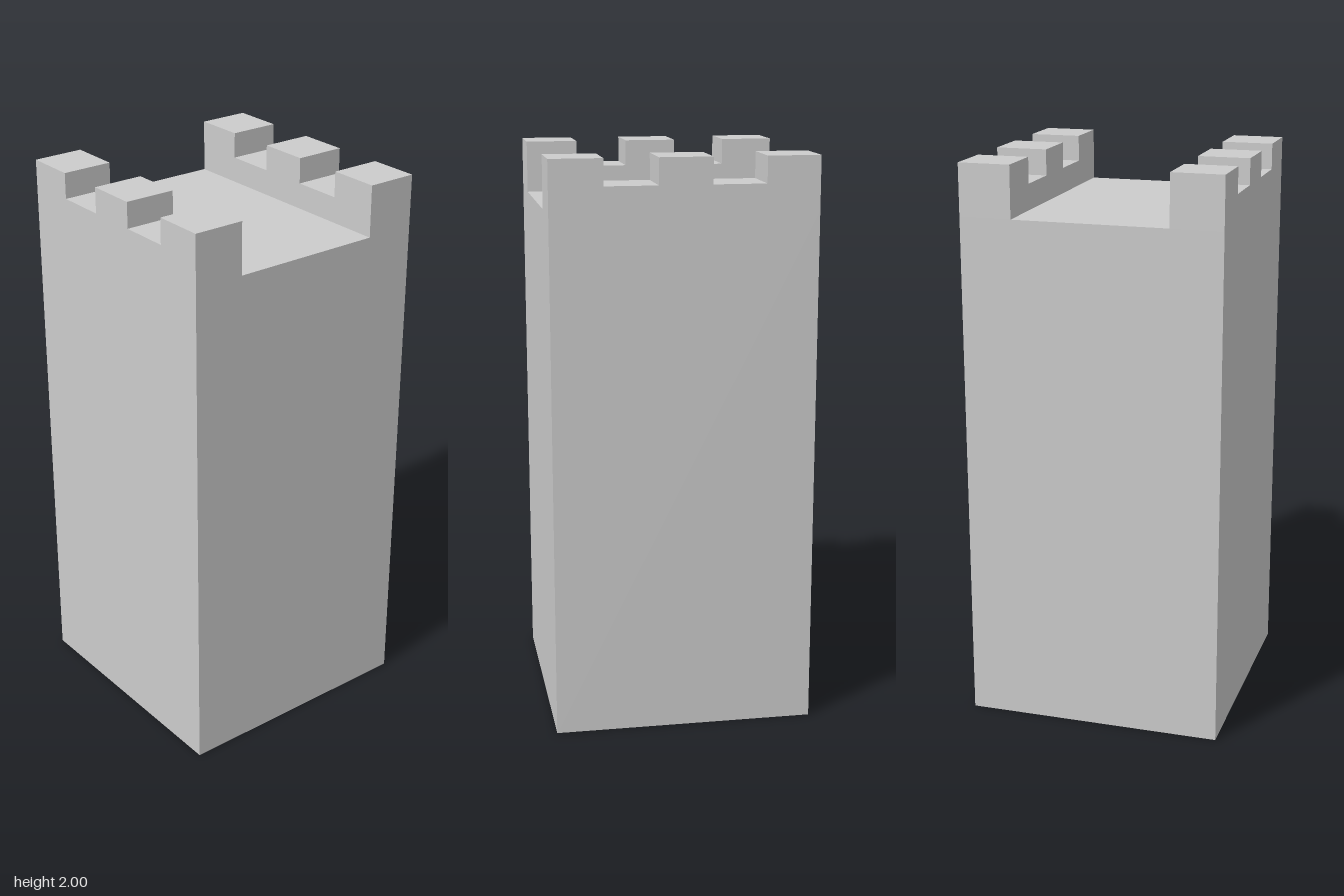
import * as THREE from 'three';

const U = 2 / 22; // one block unit: the tower is 10 x 22 x 10 units

export function createModel() {
  const group = new THREE.Group();
  const material = new THREE.MeshStandardMaterial({ color: 0xcccccc, flatShading: true });

  // Solid square tower up to the walkway floor
  const body = new THREE.Mesh(new THREE.BoxGeometry(10 * U, 20 * U, 10 * U), material);
  body.name = 'towerBody';
  body.position.y = 10 * U;
  group.add(body);

  // Crenellated side wall: low wall with three merlons and two gaps
  const profile = [
    [-5, 0], [5, 0], [5, 2], [3, 2], [3, 1], [1, 1], [1, 2],
    [-1, 2], [-1, 1], [-3, 1], [-3, 2], [-5, 2],
  ].map(([z, y]) => new THREE.Vector2(z * U, y * U));
  const wall = new THREE.ExtrudeGeometry(new THREE.Shape(profile), { depth: 2 * U, bevelEnabled: false });
  wall.translate(0, 0, -U).rotateY(-Math.PI / 2);

  for (const [name, side] of [['leftBattlement', 1], ['rightBattlement', -1]]) {
    const battlement = new THREE.Mesh(wall, material);
    battlement.name = name;
    battlement.position.set(side * 4 * U, 20 * U, 0);
    group.add(battlement);
  }
  return group;
}
